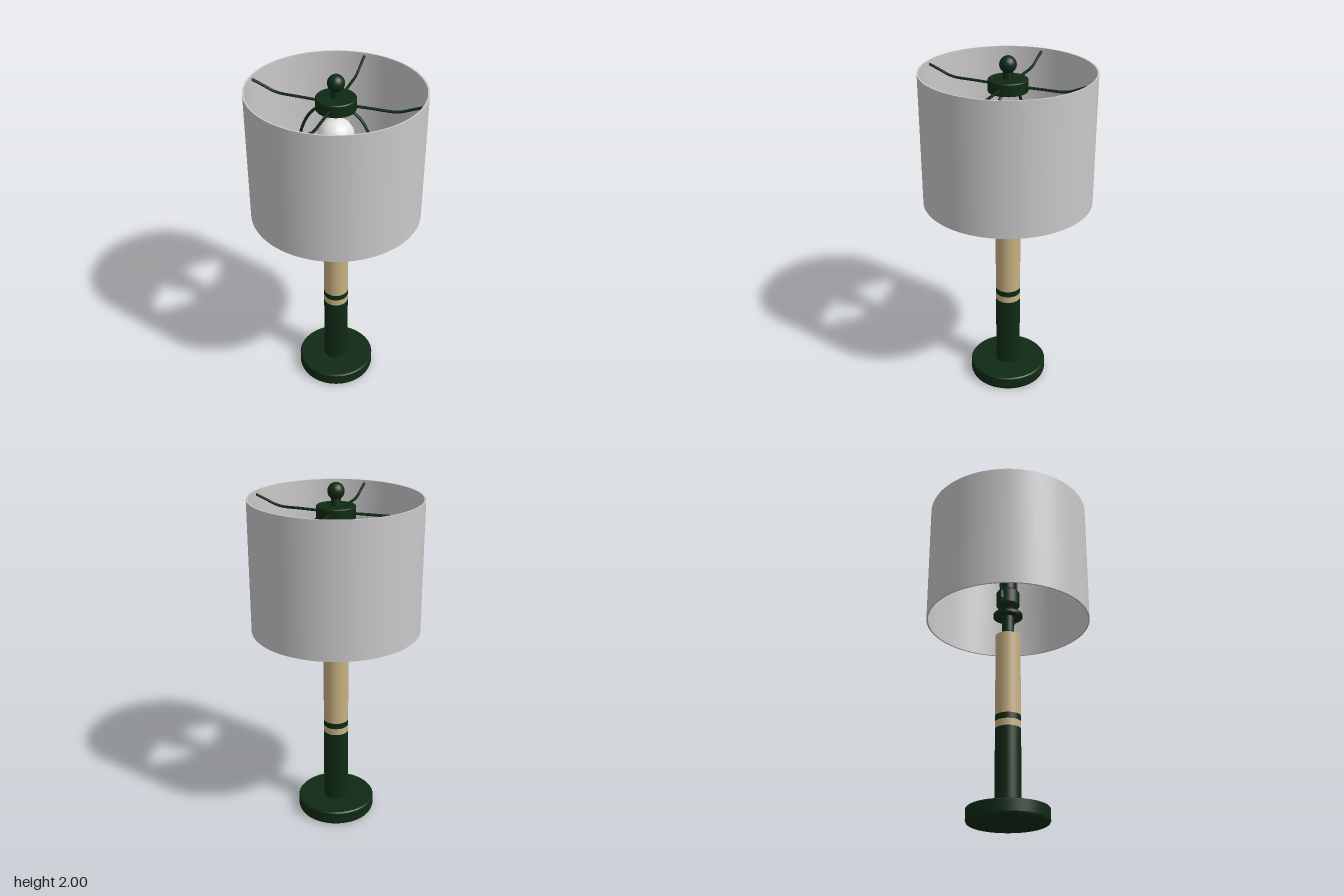
import * as THREE from 'three';

const mat = (name, color) => {
  const m = new THREE.MeshStandardMaterial({ color });
  m.name = name;
  return m;
};

export function createModel() {
  const lamp = new THREE.Group();
  lamp.name = 'tableLamp';
  const green = mat('dark green', 0x0f2a14);
  const wood = mat('pale wood', 0xc6b081);
  const fabric = mat('shade fabric', 0xcac8c8);
  const glass = mat('bulb white', 0xe4e4e2);

  const add = (name, geometry, material, parent = lamp) => {
    const mesh = new THREE.Mesh(geometry, material);
    mesh.name = name;
    parent.add(mesh);
    return mesh;
  };
  // Straight-sided lathe: each profile segment gets its own rings so edges stay crisp
  const turned = (name, profile, material, sides = 64) => {
    const group = new THREE.Group();
    group.name = name;
    for (let i = 0; i < profile.length - 1; i++) {
      const pts = [profile[i], profile[i + 1]].map(([r, y]) => new THREE.Vector2(r, y));
      add(name + 'Face', new THREE.LatheGeometry(pts, sides), material, group);
    }
    lamp.add(group);
  };
  const smoothTurned = (name, profile, material, sides = 40) =>
    add(name, new THREE.LatheGeometry(profile.map(([r, y]) => new THREE.Vector2(r, y)), sides), material);

  // Base disc with a softened lower rim
  turned('base', [[0, 0], [0.21, 0], [0.221, 0.006], [0.226, 0.018], [0.226, 0.078], [0.22, 0.085], [0, 0.085]], green);

  // Banded column
  const bands = [
    ['lowerColumn', 0.085, 0.525, green], ['lowerWoodBand', 0.525, 0.565, wood],
    ['greenBand', 0.565, 0.6, green], ['upperColumn', 0.6, 1.09, wood],
  ];
  for (const [name, y0, y1, m] of bands) {
    const g = new THREE.CylinderGeometry(0.072, 0.072, y1 - y0, 48);
    add(name, g, m).position.y = (y0 + y1) / 2;
  }

  // Neck, saddle plate and bulb socket
  turned('neck', [[0.048, 1.09], [0.048, 1.1], [0.036, 1.113], [0.036, 1.215]], green, 32);
  turned('saddlePlate', [[0.036, 1.212], [0.085, 1.212], [0.085, 1.23], [0.04, 1.23]], green, 40);
  turned('socket', [[0.04, 1.23], [0.05, 1.26], [0.068, 1.29], [0.068, 1.37], [0.058, 1.385],
    [0.048, 1.39], [0.048, 1.47], [0, 1.47]], green, 32);

  // Bulb
  smoothTurned('bulb', [[0.04, 1.47], [0.046, 1.5], [0.068, 1.55], [0.09, 1.595], [0.1, 1.64],
    [0.094, 1.685], [0.07, 1.722], [0.036, 1.742], [0, 1.748]], glass);

  // Everything below shares the turned axis of the harp and spokes
  const frame = new THREE.Group();
  frame.name = 'shadeFrame';
  frame.rotation.y = -THREE.MathUtils.degToRad(42);
  lamp.add(frame);
  const v = (x, y) => new THREE.Vector3(x, y, 0);

  // Harp: curved wire on both sides with ferrules at the joint
  for (const s of [1, -1]) {
    const path = new THREE.CatmullRomCurve3([
      [0.07, 1.22], [0.115, 1.222], [0.145, 1.25], [0.152, 1.3], [0.175, 1.37], [0.205, 1.46],
      [0.21, 1.56], [0.19, 1.67], [0.14, 1.765], [0.08, 1.812], [0.0, 1.825],
    ].map(([x, y]) => v(s * x, y)));
    add('harpWire', new THREE.TubeGeometry(path, 48, 0.008, 8), green, frame);
    add('harpFerrule', new THREE.CylinderGeometry(0.013, 0.017, 0.05, 16), green, frame).position.set(s * 0.151, 1.285, 0);
  }

  // Four spokes that rise to the rim
  for (let i = 0; i < 4; i++) {
    const path = new THREE.CatmullRomCurve3([v(0.08, 1.842), v(0.2, 1.844), v(0.31, 1.846),
      v(0.35, 1.854), v(0.41, 1.878), v(0.468, 1.9)]);
    add('spoke', new THREE.TubeGeometry(path, 28, 0.0075, 8), green, frame).rotation.y = i * Math.PI / 2;
  }

  // Hub and ball finial
  turned('hub', [[0, 1.812], [0.107, 1.812], [0.107, 1.874], [0.103, 1.878], [0, 1.878]], green, 48);
  add('finialStem', new THREE.CylinderGeometry(0.024, 0.03, 0.06, 24), green).position.y = 1.9;
  add('finialBall', new THREE.SphereGeometry(0.046, 32, 20), green).position.y = 1.954;

  // Hollow drum shade with wall thickness
  turned('shade', [[0.465, 1.18], [0.474, 1.18], [0.474, 1.92], [0.465, 1.92], [0.465, 1.18]], fabric, 96);
  return lamp;
}
